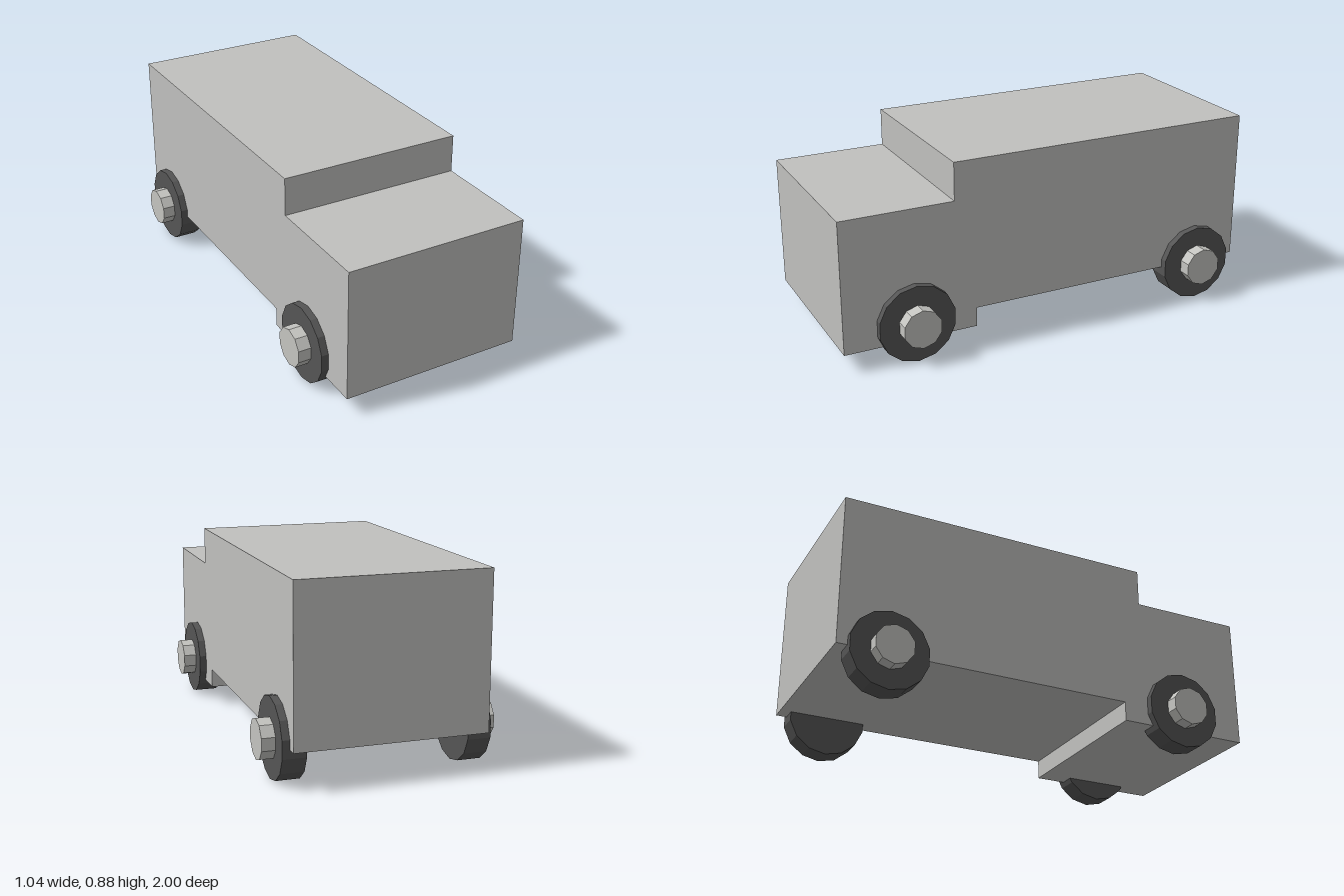
import * as THREE from 'three';

export function createModel() {
  const model = new THREE.Group();
  model.name = 'van';

  const paint = (name, color) => {
    const m = new THREE.MeshStandardMaterial({ color });
    m.name = name;
    return m;
  };
  const bodyGrey = paint('bodyGrey', 0xc0c0be);
  const tyreBlack = paint('tyreBlack', 0x555555);
  const hubSilver = paint('hubSilver', 0xc4c4c0);

  // Body: stepped side silhouette (z, y) extruded across the width
  const halfWidth = 0.427;
  const silhouette = new THREE.Shape([
    [1, 0.09], [1, 0.705], [0.475, 0.705], [0.475, 0.88],
    [-1, 0.88], [-1, 0.18], [0.375, 0.18], [0.375, 0.09],
  ].map(([z, y]) => new THREE.Vector2(z, y)));
  const bodyGeometry = new THREE.ExtrudeGeometry(silhouette, { depth: halfWidth * 2, bevelEnabled: false });
  bodyGeometry.translate(0, 0, -halfWidth).rotateY(-Math.PI / 2);
  const body = new THREE.Mesh(bodyGeometry, bodyGrey);
  body.name = 'body';
  model.add(body);

  // Faceted disc along x, from x0 to x1, with a corner at the top
  const disc = (name, radius, sides, x0, x1, material) => {
    const g = new THREE.CylinderGeometry(radius, radius, x1 - x0, sides, 1, false, Math.PI / 2)
      .rotateZ(-Math.PI / 2)
      .translate((x0 + x1) / 2, 0, 0)
      .toNonIndexed();
    g.computeVertexNormals();
    const mesh = new THREE.Mesh(g, material);
    mesh.name = name;
    return mesh;
  };

  // Wheels: tyre with a protruding hub, turned outwards on each side
  for (const [end, z] of [['front', 0.67], ['rear', -0.775]]) {
    for (const [side, turn] of [['Left', 0], ['Right', Math.PI]]) {
      const wheel = new THREE.Group();
      wheel.name = `${end}${side}Wheel`;
      wheel.add(
        disc('tyre', 0.18, 14, 0.355, 0.46, tyreBlack),
        disc('hub', 0.09, 10, 0.44, 0.52, hubSilver),
      );
      wheel.rotation.y = turn;
      wheel.position.set(0, 0.181, z);
      model.add(wheel);
    }
  }
  return model;
}
